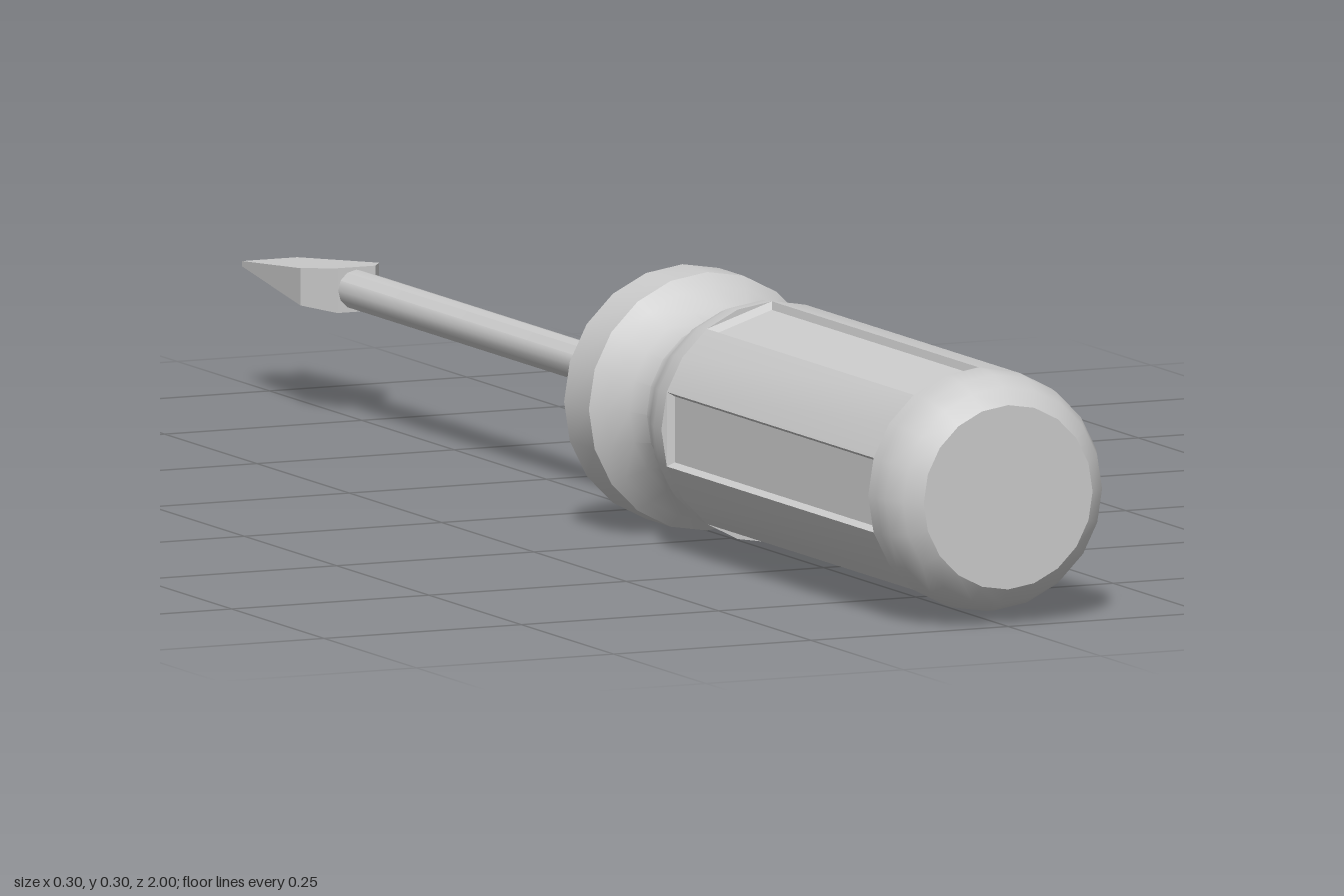
import * as THREE from 'three';
import { toCreasedNormals } from 'three/addons/utils/BufferGeometryUtils.js';

const SIDES = 20;
const R = 0.14;                 // grip radius
const Z0 = 0.36, Z1 = 0.92;     // extent of the grip recesses
const rad = THREE.MathUtils.degToRad;
const material = new THREE.MeshStandardMaterial({ color: 0xcccccc });

function add(parent, name, geometry) {
  const mesh = new THREE.Mesh(geometry, material);
  mesh.name = name;
  parent.add(mesh);
  return mesh;
}

// Turned part along z; the profile lists [radius, z] with z rising
function turned(profile, sides = SIDES, start = 0, sweep = Math.PI * 2) {
  const points = profile.map(([r, z]) => new THREE.Vector2(r, z));
  const geometry = new THREE.LatheGeometry(points, sides, start, sweep).rotateX(Math.PI / 2);
  return toCreasedNormals(geometry, 0.6);
}

// Shallow flat-bottomed recess facing +y, with slightly sloping walls
function recessGeometry() {
  const w = R * Math.sin(rad(18)), c = R * Math.cos(rad(18));
  const inset = 0.005, depth = 0.008;
  const rectangle = (x, y, z0, z1) => [[-x, y, z1], [x, y, z1], [x, y, z0], [-x, y, z0]];
  const rim = rectangle(w, c, Z0, Z1);
  const floor = rectangle(w - inset, c - depth, Z0 + inset, Z1 - inset);
  const v = [];
  const tri = (...corners) => corners.forEach((p) => v.push(...p));
  const quad = (a, b, d, e) => { tri(a, b, d); tri(a, d, e); };
  quad(...floor);
  for (let i = 0; i < 4; i++) {
    const j = (i + 1) % 4;
    quad(rim[i], rim[j], floor[j], floor[i]);
    // curved top of the two end walls
    if (i % 2 === 0) tri(rim[j], rim[i], [0, R, rim[i][2]]);
  }
  const geometry = new THREE.BufferGeometry();
  geometry.setAttribute('position', new THREE.Float32BufferAttribute(v, 3));
  geometry.computeVertexNormals();
  return geometry;
}

// Blade outline seen from above, thinned to a wedge towards the tip
function bladeGeometry() {
  const outline = [[0.024, -0.765], [0.05, -0.81], [0.035, -1], [-0.035, -1], [-0.05, -0.81], [-0.024, -0.765]];
  const shape = new THREE.Shape(outline.map(([x, z]) => new THREE.Vector2(x, -z)));
  const geometry = new THREE.ExtrudeGeometry(shape, { depth: 2, bevelEnabled: false });
  geometry.translate(0, 0, -1).rotateX(-Math.PI / 2);
  const p = geometry.attributes.position;
  for (let i = 0; i < p.count; i++) {
    const t = (p.getZ(i) + 1) / 0.235;
    p.setY(i, p.getY(i) * THREE.MathUtils.lerp(0.003, 0.026, t));
  }
  geometry.computeVertexNormals();
  return geometry;
}

export function createModel() {
  const model = new THREE.Group();
  model.name = 'screwdriver';

  const handle = new THREE.Group();
  handle.name = 'handle';
  model.add(handle);

  // Collar and waisted neck
  add(handle, 'collarAndNeck', turned([
    [0, 0.118], [0.15, 0.118], [0.15, 0.185], [0.136, 0.2], [0.116, 0.222], [0.107, 0.25],
    [0.114, 0.275], [0.13, 0.308], [0.138, 0.335], [R, Z0],
  ]));
  // Rounded butt
  add(handle, 'butt', turned([
    [R, Z1], [R, 0.94], [0.137, 0.96], [0.126, 0.985], [0.107, 1], [0, 1],
  ]));
  // Grip: five raised ribs alternating with five recesses
  const recess = recessGeometry();
  for (let k = 0; k < 5; k++) {
    add(handle, 'gripRib', turned([[R, Z0], [R, Z1]], 2, rad(144 + 72 * k), rad(36)));
    add(handle, 'gripRecess', recess).rotation.z = rad(18 + 72 * k);
  }
  // Thin raised disc round the shaft
  add(handle, 'ferrule', turned([[0, 0.11], [0.097, 0.11], [0.097, 0.118]]));

  // Shaft and flat blade
  add(model, 'shaft', turned([[0, -0.77], [0.023, -0.77], [0.023, 0.115]], 12));
  add(model, 'blade', bladeGeometry());

  // Lay the tool on the ground
  model.children.forEach((part) => { part.position.y = 0.15; });
  return model;
}
